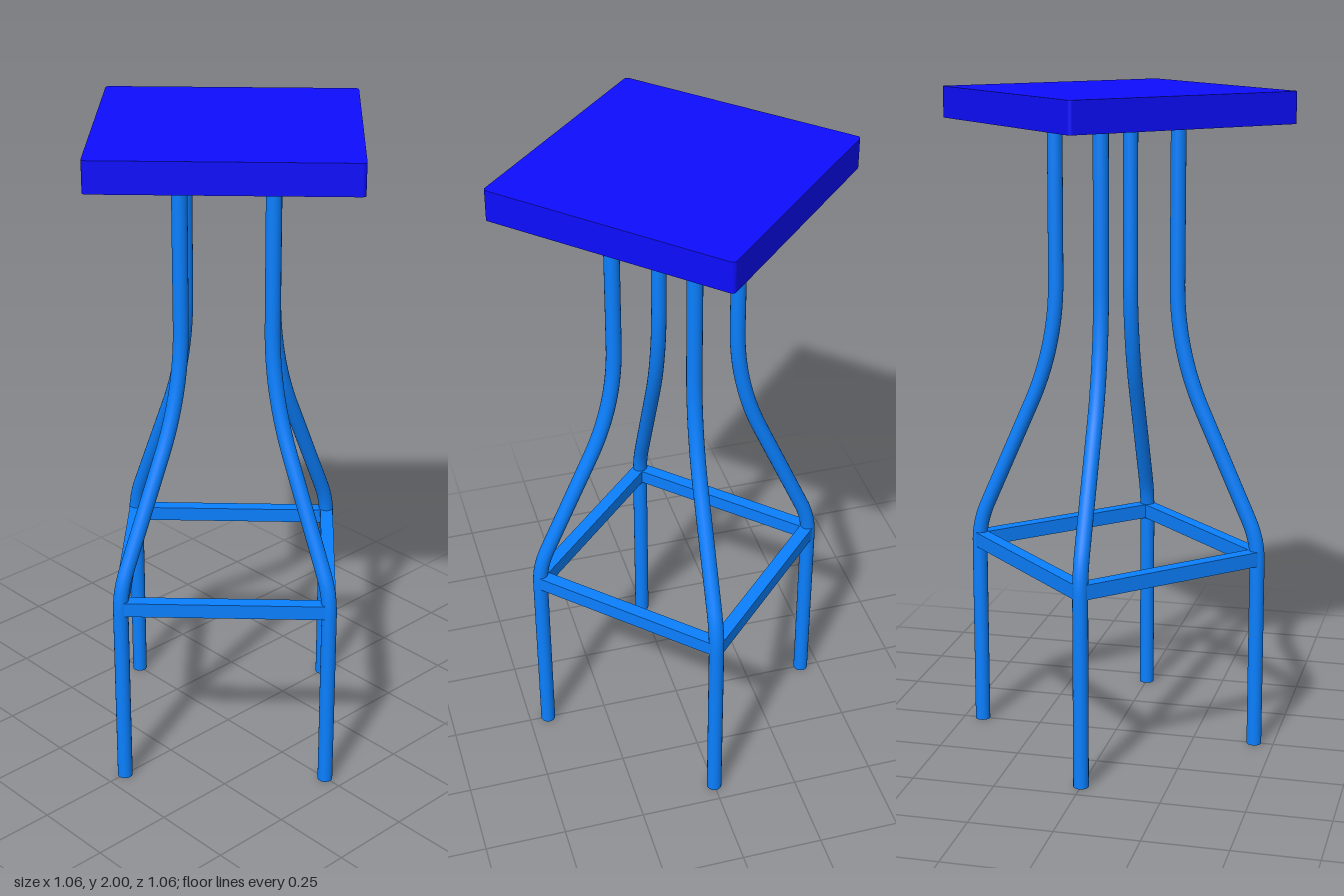
import * as THREE from 'three';

const LEG_RADIUS = 0.023;
const FOOT = 0.44; // distance of a foot from the centre axis
const NECK = 0.187; // distance of a leg top from the centre axis

// Square outline with slightly rounded corners, centred on the origin
function roundedSquare(half, r) {
  const s = new THREE.Shape();
  s.absarc(half - r, half - r, r, 0, Math.PI / 2);
  s.absarc(-half + r, half - r, r, Math.PI / 2, Math.PI);
  s.absarc(-half + r, -half + r, r, Math.PI, Math.PI * 1.5);
  s.absarc(half - r, -half + r, r, Math.PI * 1.5, Math.PI * 2);
  s.closePath();
  return s;
}

// Leg centre line: upright foot, inward slope, upright neck
function legPath() {
  const p = (x, y) => new THREE.Vector3(x, y, 0);
  const path = new THREE.CurvePath();
  path.add(new THREE.LineCurve3(p(FOOT, 0), p(FOOT, 0.59)));
  path.add(new THREE.QuadraticBezierCurve3(p(FOOT, 0.59), p(FOOT, 0.655), p(0.414, 0.714)));
  path.add(new THREE.LineCurve3(p(0.414, 0.714), p(0.267, 1.048)));
  path.add(new THREE.QuadraticBezierCurve3(p(0.267, 1.048), p(NECK, 1.23), p(NECK, 1.43)));
  path.add(new THREE.LineCurve3(p(NECK, 1.43), p(NECK, 1.92)));
  return path;
}

export function createModel() {
  const model = new THREE.Group();
  model.name = 'barStool';
  const seatMat = new THREE.MeshStandardMaterial({ color: 0x0d0dff });
  const frameMat = new THREE.MeshStandardMaterial({ color: 0x0a80ff });
  const undersideMat = new THREE.MeshStandardMaterial({ color: 0xcccccc });

  const add = (name, geometry, material, parent = model) => {
    const mesh = new THREE.Mesh(geometry, material);
    mesh.name = name;
    parent.add(mesh);
    return mesh;
  };

  // Seat slab, turned so its corners lie over the legs
  const outline = roundedSquare(0.379, 0.012);
  const slab = new THREE.ExtrudeGeometry(outline, { depth: 0.093, bevelEnabled: false, curveSegments: 6 });
  slab.rotateX(-Math.PI / 2).rotateY(Math.PI / 4).translate(0, 1.907, 0);
  add('seat', slab, seatMat);

  // Grey board closing the bottom of the seat
  const board = new THREE.ShapeGeometry(outline, 6);
  board.rotateX(Math.PI / 2).rotateY(Math.PI / 4).translate(0, 1.905, 0);
  add('seatUnderside', board, undersideMat);

  // Four bent legs with capped feet, and the stretchers joining them
  const tube = new THREE.TubeGeometry(legPath(), 72, LEG_RADIUS, 20, false);
  const cap = new THREE.CircleGeometry(LEG_RADIUS, 20);
  cap.rotateX(Math.PI / 2).translate(FOOT, 0, 0);
  const stretcher = new THREE.BoxGeometry(FOOT * Math.SQRT2, 0.045, 0.04);
  stretcher.translate(0, 0.602, FOOT / Math.SQRT2);
  for (let i = 0; i < 4; i++) {
    const leg = new THREE.Group();
    leg.name = 'leg' + (i + 1);
    leg.rotation.y = (i * Math.PI) / 2;
    add('legTube', tube, frameMat, leg);
    add('foot', cap, frameMat, leg);
    model.add(leg);

    add('stretcher' + (i + 1), stretcher, frameMat).rotation.y = Math.PI / 4 + (i * Math.PI) / 2;
  }
  return model;
}
